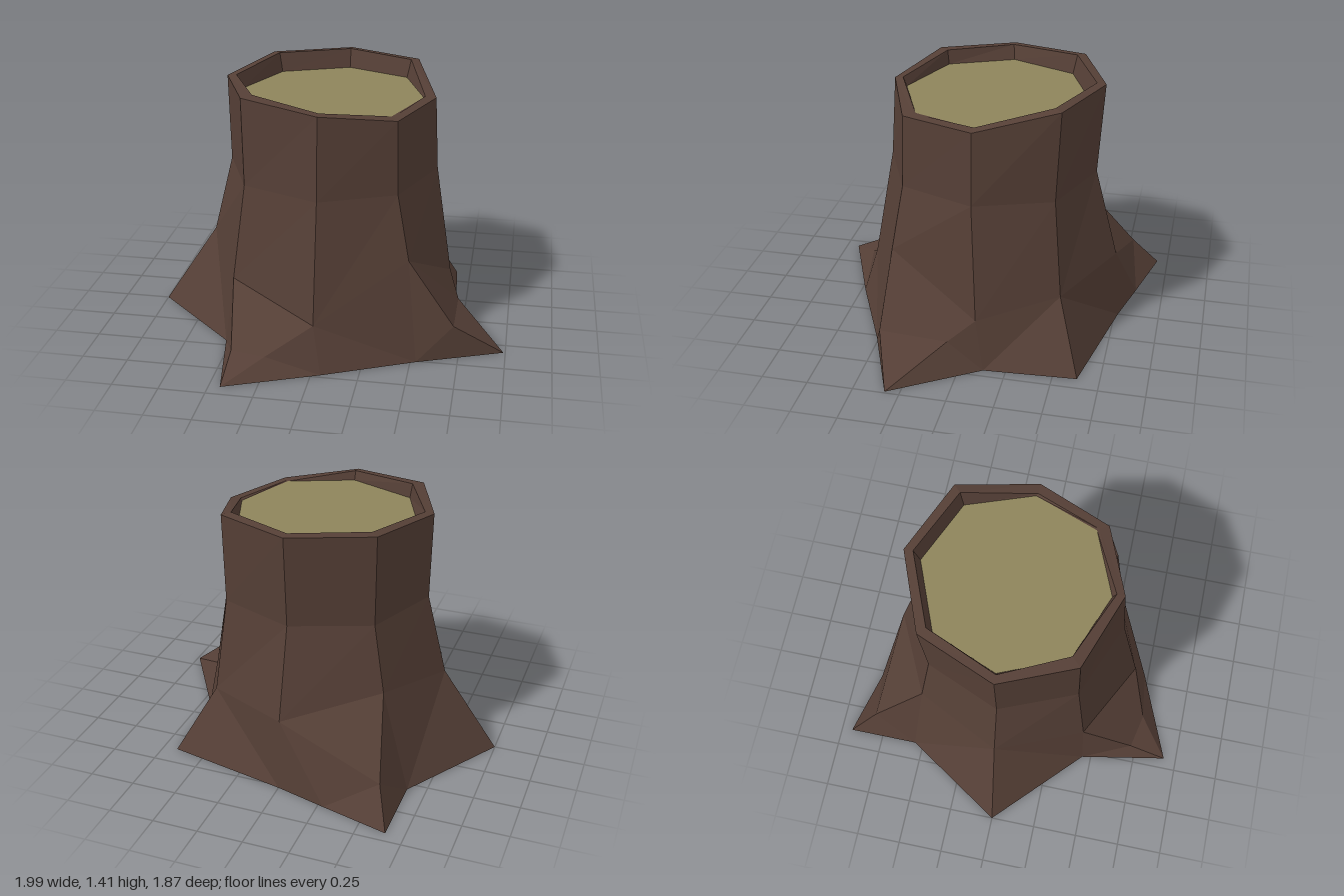
import * as THREE from 'three';

const bark = new THREE.MeshStandardMaterial({ color: 0x553f36 });
bark.name = 'bark brown';
bark.flatShading = true;
const wood = new THREE.MeshStandardMaterial({ color: 0x8e845b });
wood.name = 'cut wood';
wood.flatShading = true;

// Eight-sided rings, starting at the front and running F, FR, R, BR, B, BL, L, FL
const keys = ['F', 'FR', 'R', 'BR', 'B', 'BL', 'L', 'FL'];
const flare = [[0, .25, .66], [.47, .55, .42], [.66, .28, -.08], [.47, .37, -.5],
  [0, .4, -.74], [-.49, .54, -.5], [-.7, .46, -.04], [-.48, .38, .43]];
const waist = [[0, .9, .54], [.4, .9, .37], [.57, .91, -.04], [.41, .9, -.45],
  [0, .9, -.61], [-.42, .9, -.45], [-.59, .9, -.04], [-.42, .9, .37]];
const rimOuter = [[0, 1.35, .51], [.39, 1.3, .36], [.55, 1.31, -.04], [.41, 1.4, -.47],
  [0, 1.405, -.64], [-.43, 1.405, -.47], [-.6, 1.38, -.04], [-.43, 1.38, .36]];
const rimInner = [[0, .465], [.36, .31], [.49, -.04], [.37, -.43],
  [0, -.59], [-.39, -.43], [-.55, -.04], [-.38, .31]]
  .map(([x, z], i) => [x, rimOuter[i][1] + .005, z]);
const WOOD_Y = 1.305;
const woodEdge = [[0, .445], [.35, .3], [.48, -.05], [.35, -.41],
  [0, -.56], [-.37, -.41], [-.52, -.05], [-.37, .3]].map(([x, z]) => [x, WOOD_Y, z]);

// Outline on the ground, and the knees where roots bend
const ground = { gF2: [.05, .73], gF1: [.53, .51], gFR: [.99, .33], gR: [.7, -.13],
  gBR: [.67, -.63], gB0: [0, -.77], gB1: [-.28, -.845], gBL: [-.65, -.94],
  gBLm: [-.65, -.55], gL: [-1, 0], gFLm: [-.53, .45], gFL: [-.44, .93] };
const points = { kFR: [.72, .19, .43], kR: [.72, .17, .06], kFL: [-.43, .1, .72],
  kF: [-.24, .1, .76], kBL: [-.57, .18, -.79] };
keys.forEach((k, i) => { points['l' + k] = flare[i]; });
for (const k in ground) points[k] = [ground[k][0], 0, ground[k][1]];

// Each entry is a fan: its centre, then corners from left to right seen from outside
const rootFans = [
  'lFL kFL kF lF', 'kFL gFL kF', 'kF gFL gF2 lF',
  'lF gF2 gF1 lFR', 'lFR gF1 kFR', 'kFR gF1 gFR',
  'lFR kFR kR lR', 'kFR gFR kR', 'kR gFR gR lR',
  'lR gR lBR', 'lBR gR gBR', 'lBR gBR gB0 lB',
  'lB gB0 gB1 kBL lBL', 'kBL gB1 gBL',
  'kBL gBL gBLm', 'lBL kBL gBLm lL', 'lL gBLm gL',
  'lL gL gFLm lFL', 'lFL gFLm kFL', 'kFL gFLm gFL',
];

function addMesh(group, name, geometry, material) {
  const mesh = new THREE.Mesh(geometry, material);
  mesh.name = name;
  group.add(mesh);
}

function fromTriangles(tris) {
  const g = new THREE.BufferGeometry();
  g.setAttribute('position', new THREE.Float32BufferAttribute(tris.flat(2), 3));
  g.computeVertexNormals();
  return g;
}

// Joins successive rings with quads
function loft(...rings) {
  const tris = [];
  for (let r = 0; r < rings.length - 1; r++) {
    const low = rings[r], high = rings[r + 1];
    low.forEach((a, i) => {
      const j = (i + 1) % low.length;
      tris.push([a, low[j], high[j]], [a, high[j], high[i]]);
    });
  }
  return fromTriangles(tris);
}

// Flat horizontal face from x, z points; dir 1 faces up, -1 faces down
function flatFace(outline, y, dir) {
  const shape = new THREE.Shape(outline.map(([x, z]) => new THREE.Vector2(x, -dir * z)));
  return new THREE.ShapeGeometry(shape).rotateX(-dir * Math.PI / 2).translate(0, y, 0);
}

export function createModel() {
  const stump = new THREE.Group();
  stump.name = 'tree stump';

  // Trunk and raised bark rim
  addMesh(stump, 'trunk', loft(flare, waist, rimOuter), bark);
  addMesh(stump, 'bark rim', loft(rimOuter, rimInner, woodEdge), bark);

  // Spreading roots
  const tris = [];
  for (const fan of rootFans) {
    const [c, ...rest] = fan.split(' ').map((k) => points[k]);
    for (let i = 0; i < rest.length - 1; i++) tris.push([c, rest[i], rest[i + 1]]);
  }
  addMesh(stump, 'roots', fromTriangles(tris), bark);

  // Underside and cut surface
  addMesh(stump, 'underside', flatFace(Object.values(ground), 0, -1), bark);
  addMesh(stump, 'cut surface', flatFace(woodEdge.map(([x, , z]) => [x, z]), WOOD_Y, 1), wood);
  return stump;
}
